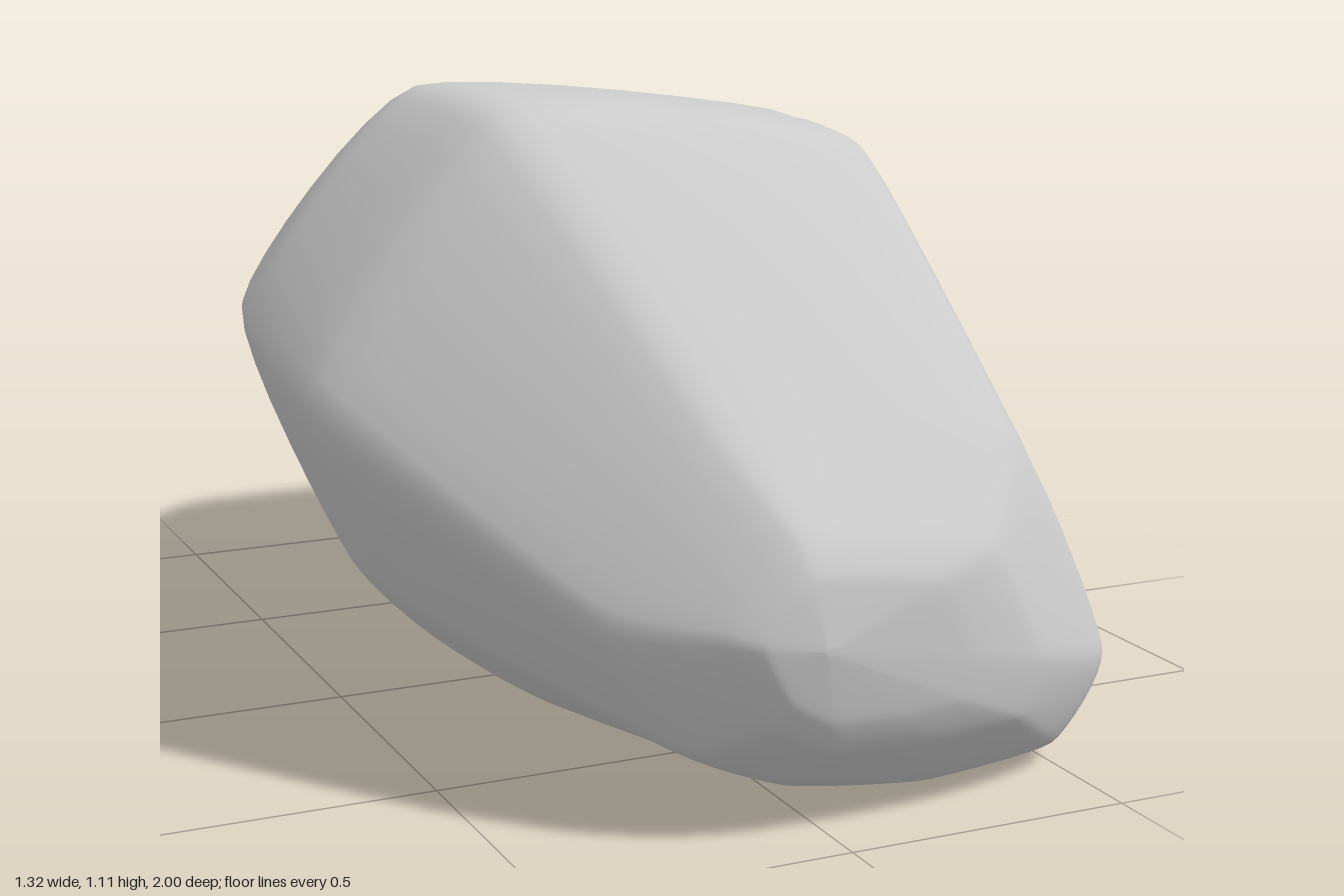
import * as THREE from 'three';
import { mergeVertices } from 'three/addons/utils/BufferGeometryUtils.js';

const AROUND = 64, ALONG = 70, TENSION = 0.24;

// Cross-sections from back to front: z, then the [x, y] corners bottom left, bottom right,
// lower right, right, top right, top left, left, lower left.
const sections = [
  [-0.90, [[.06, .25], [.25, .28], [.48, .46], [.57, .68], [.47, .84], [.06, .83], [-.19, .56], [-.09, .35]]],
  [-0.60, [[-.1, .14], [.25, .18], [.6, .4], [.66, .57], [.57, .93], [-.1, .95], [-.42, .67], [-.32, .36]]],
  [-0.30, [[-.2, .045], [.22, .035], [.605, .27], [.635, .5], [.56, .98], [-.25, 1.05], [-.57, .7], [-.42, .28]]],
  [0.00, [[-.25, .05], [.25, .05], [.56, .17], [.595, .5], [.45, 1], [-.33, 1.105], [-.66, .72], [-.47, .25]]],
  [0.33, [[-.21, .05], [.27, .035], [.575, .1], [.575, .4], [.38, .99], [-.3, 1.075], [-.64, .63], [-.46, .25]]],
  [0.78, [[0, .03], [.25, 0], [.51, .03], [.605, .19], [.39, .6], [-.14, .65], [-.345, .36], [-.2, .12]]],
  [0.94, [[-.01, .14], [.18, .13], [.34, .15], [.38, .25], [.27, .45], [-.07, .5], [-.195, .35], [-.12, .2]]],
];
const backTip = new THREE.Vector3(0.4, 0.57, -1);
const frontTip = new THREE.Vector3(-0.05, 0.33, 1);

// Rounded shoulder between an end section and its tip
function shoulder(point, tip) {
  return new THREE.Vector3(
    THREE.MathUtils.lerp(point.x, tip.x, 0.36),
    THREE.MathUtils.lerp(point.y, tip.y, 0.36),
    THREE.MathUtils.lerp(point.z, tip.z, 0.65));
}

function createRockGeometry() {
  // Smooth each section into a closed ring
  const rings = sections.map(([z, corners]) => new THREE.CatmullRomCurve3(
    corners.map(([x, y]) => new THREE.Vector3(x, y, z)), true, 'catmullrom', TENSION));

  // Join the rings with lengthwise strands that meet at both tips
  const strands = [];
  for (let j = 0; j < AROUND; j++) {
    const points = rings.map((ring) => ring.getPoint(j / AROUND));
    strands.push(new THREE.CatmullRomCurve3([
      backTip, shoulder(points[0], backTip), ...points,
      shoulder(points[points.length - 1], frontTip), frontTip,
    ], false, 'catmullrom', TENSION));
  }

  // Skin the strands
  const positions = [], indices = [];
  for (let i = 0; i <= ALONG; i++) {
    for (const strand of strands) positions.push(...strand.getPoint(i / ALONG).toArray());
  }
  for (let i = 0; i < ALONG; i++) {
    for (let j = 0; j < AROUND; j++) {
      const a = i * AROUND + j, b = i * AROUND + (j + 1) % AROUND;
      const c = b + AROUND, d = a + AROUND;
      if (i > 0) indices.push(a, b, d);
      if (i < ALONG - 1) indices.push(b, c, d);
    }
  }

  const geometry = new THREE.BufferGeometry();
  geometry.setAttribute('position', new THREE.Float32BufferAttribute(positions, 3));
  geometry.setIndex(indices);
  const skin = mergeVertices(geometry, 1e-5);
  skin.computeVertexNormals();
  return skin;
}

export function createModel() {
  const model = new THREE.Group();
  model.name = 'boulder';
  const rock = new THREE.Mesh(createRockGeometry(), new THREE.MeshStandardMaterial({ color: 0xcccccc }));
  rock.name = 'rock';
  model.add(rock);
  return model;
}
